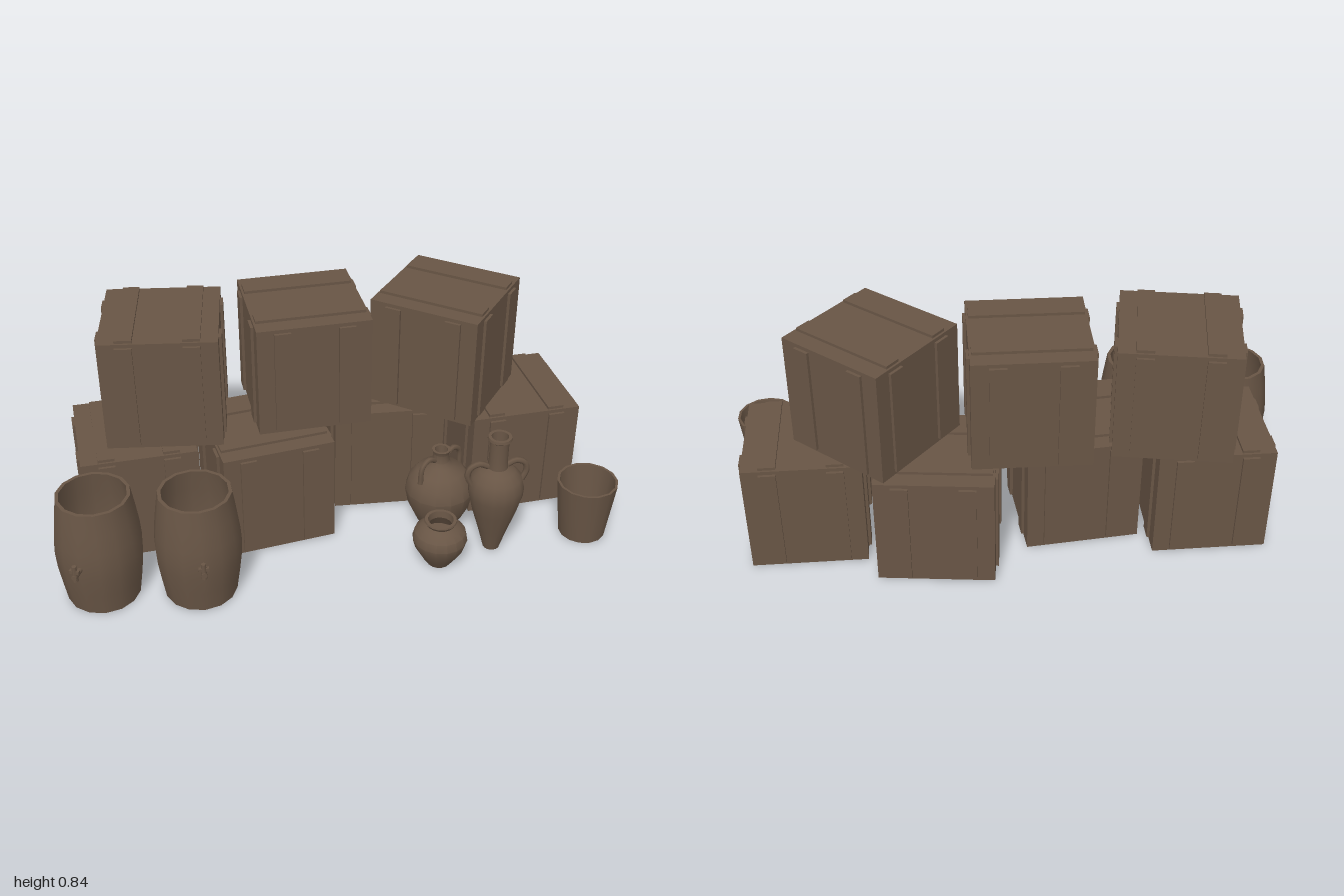
import * as THREE from 'three';
import { toCreasedNormals } from 'three/addons/utils/BufferGeometryUtils.js';

const wood = new THREE.MeshStandardMaterial({ color: 0x685545 });
wood.name = 'brown';

const SIZE = 0.4, HEIGHT = 0.406;

function mesh(name, geometry, parent, x = 0, y = 0, z = 0) {
  const m = new THREE.Mesh(geometry, wood);
  m.name = name;
  m.position.set(x, y, z);
  parent.add(m);
  return m;
}

function place(name, parent, x, y, z, degrees = 0) {
  const g = new THREE.Group();
  g.name = name;
  g.position.set(x, y, z);
  g.rotation.y = THREE.MathUtils.degToRad(degrees);
  parent.add(g);
  return g;
}

// Crate: plain box with two battens on each side and two on the lid
function crate(parent, x, y, z, degrees, lidAlongX) {
  const g = place('crate', parent, x, y, z, degrees);
  mesh('crateBody', new THREE.BoxGeometry(SIZE, HEIGHT, SIZE), g, 0, HEIGHT / 2, 0);
  for (let side = 0; side < 4; side++) {
    const face = place('crateSide', g, 0, 0, 0, side * 90);
    for (const s of [-1, 1]) {
      mesh('sideBatten', new THREE.BoxGeometry(0.058, 0.38, 0.02), face, s * 0.112, HEIGHT / 2, SIZE / 2);
    }
  }
  for (const s of [-1, 1]) {
    const lid = lidAlongX
      ? mesh('lidBatten', new THREE.BoxGeometry(0.385, 0.02, 0.058), g, 0, HEIGHT, s * 0.112)
      : mesh('lidBatten', new THREE.BoxGeometry(0.058, 0.02, 0.385), g, s * 0.112, HEIGHT, 0);
    lid.castShadow = false;
  }
}

// Turned shape from [radius, height] pairs, outside upwards then inside down
function turned(name, parent, profile, sides) {
  const points = profile.map(([r, y]) => new THREE.Vector2(r, y));
  return mesh(name, toCreasedNormals(new THREE.LatheGeometry(points, sides), 0.62), parent);
}

// Hollow barrel with a small tap on its front
function barrel(parent, x, z, degrees) {
  const g = place('barrel', parent, x, 0, z, degrees);
  turned('barrelStaves', g, [
    [0, 0], [0.125, 0], [0.137, 0.08], [0.146, 0.15], [0.149, 0.205], [0.146, 0.26], [0.137, 0.33],
    [0.125, 0.41], [0.113, 0.41], [0.125, 0.33], [0.135, 0.205], [0.125, 0.08], [0.113, 0.03], [0, 0.03],
  ], 14);
  const spout = mesh('tapSpout', new THREE.CylinderGeometry(0.01, 0.01, 0.055, 8), g, 0, 0.205, 0.165);
  spout.rotation.x = Math.PI / 2;
  mesh('tapValve', new THREE.CylinderGeometry(0.008, 0.01, 0.06, 8), g, 0, 0.217, 0.182);
  mesh('tapHandle', new THREE.BoxGeometry(0.034, 0.012, 0.012), g, 0, 0.225, 0.182);
}

// Pair of looped handles through [radius, height] points
function handles(parent, path, thickness) {
  for (const s of [-1, 1]) {
    const curve = new THREE.CatmullRomCurve3(path.map(([r, y]) => new THREE.Vector3(s * r, y, 0)));
    mesh('handle', new THREE.TubeGeometry(curve, 12, thickness, 6), parent);
  }
}

export function createModel() {
  const model = new THREE.Group();
  model.name = 'cratesBarrelsAndPots';

  // Lower row of crates
  crate(model, -0.693, 0.003, -0.136, 2.3, false);
  crate(model, -0.235, 0.003, -0.08, 7.5, true);
  crate(model, 0.24, 0.003, -0.255, -4.5, true);
  crate(model, 0.7, 0.003, -0.15, 2.3, false);
  // Upper row of crates
  crate(model, -0.563, 0.424, -0.17, -8, false);
  crate(model, -0.067, 0.424, -0.187, 1.5, true);
  crate(model, 0.445, 0.424, -0.17, -39, true);

  // Barrels
  barrel(model, -0.85, 0.235, -27);
  barrel(model, -0.52, 0.285, 0);

  // Open bucket
  const bucket = place('bucket', model, 0.887, 0, 0.24);
  turned('bucketBody', bucket, [[0, 0], [0.084, 0], [0.109, 0.222], [0.1, 0.222], [0.077, 0.02], [0, 0.02]], 14);

  // Tall jar with long neck
  const tall = place('tallJar', model, 0.533, 0, 0.262);
  turned('tallJarBody', tall, [
    [0, 0], [0.03, 0], [0.034, 0.015], [0.055, 0.09], [0.08, 0.17], [0.096, 0.235], [0.098, 0.27], [0.087, 0.31],
    [0.062, 0.335], [0.036, 0.348], [0.033, 0.38], [0.033, 0.455], [0.043, 0.463], [0.041, 0.473],
    [0.03, 0.473], [0.026, 0.36], [0, 0.35],
  ], 16);
  handles(tall, [[0.034, 0.352], [0.065, 0.366], [0.098, 0.352], [0.107, 0.32], [0.092, 0.282]], 0.011);

  // Round jar with two handles
  const round = place('roundJar', model, 0.375, 0, 0.105, 30);
  turned('roundJarBody', round, [
    [0, 0], [0.05, 0], [0.085, 0.05], [0.113, 0.11], [0.125, 0.17], [0.113, 0.215], [0.085, 0.25],
    [0.045, 0.272], [0.031, 0.29], [0.028, 0.32], [0.034, 0.336], [0.024, 0.336], [0.02, 0.29], [0, 0.28],
  ], 14);
  handles(round, [[0.03, 0.3], [0.06, 0.315], [0.092, 0.295], [0.1, 0.23]], 0.01);

  // Small squat pot
  const small = place('smallPot', model, 0.323, 0, 0.312);
  turned('smallPotBody', small, [
    [0, 0], [0.042, 0], [0.065, 0.035], [0.088, 0.075], [0.097, 0.107], [0.09, 0.137], [0.068, 0.158],
    [0.05, 0.168], [0.058, 0.18], [0.056, 0.186], [0.045, 0.186], [0.042, 0.16], [0.075, 0.11], [0.035, 0.02], [0, 0.02],
  ], 16);

  return model;
}
